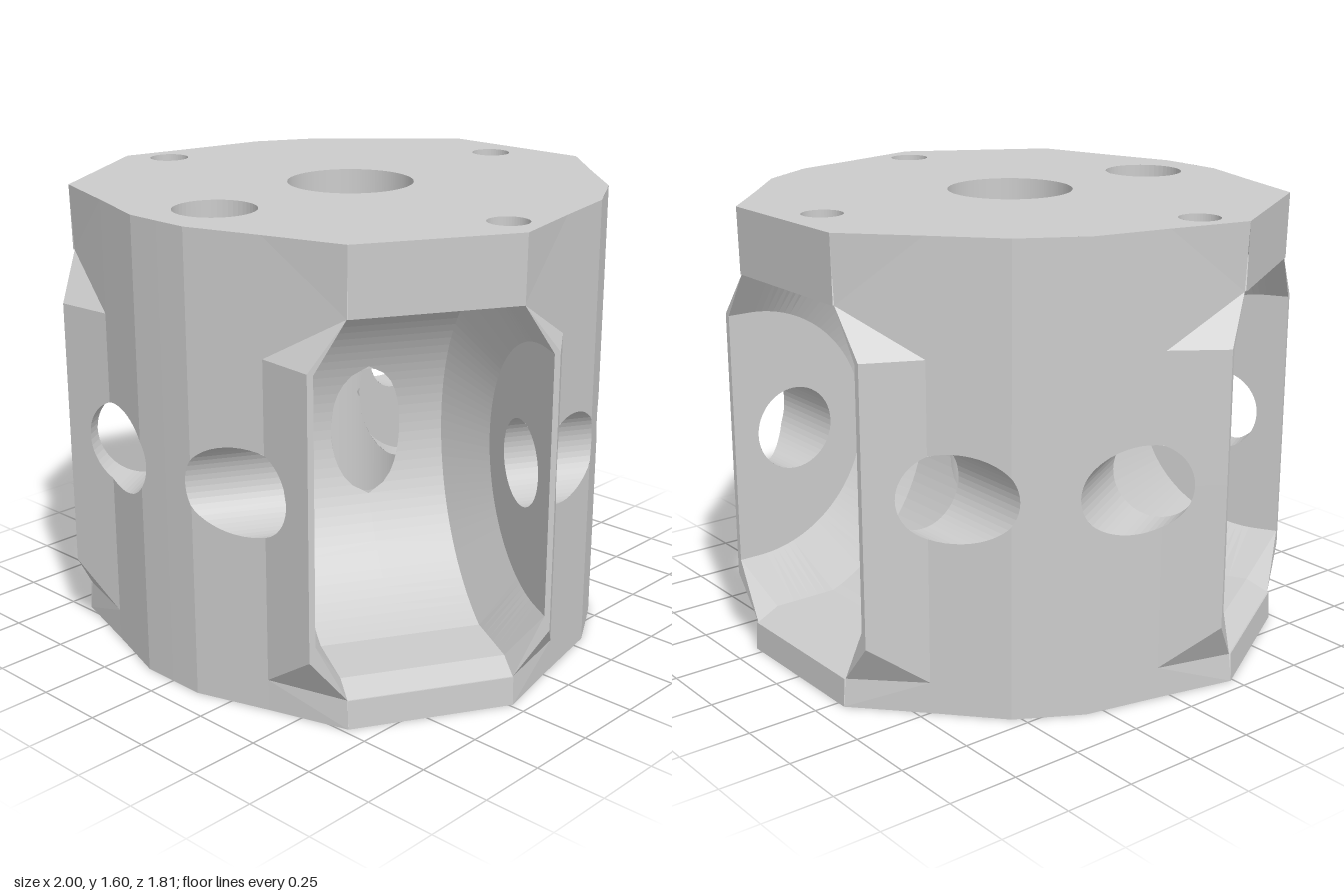
import * as THREE from 'three';

const MID = 0.755;                                   // height of the wheel axles
const BORE = 0.22, H = 1.6;                          // centre bore radius, body height
const AXLE_D = 0.675, AXLE_R = 0.15;                 // axle hole: distance from centre, radius
const CAV_D = 0.84, CAV_R = 0.66, CAV_r = 0.45;      // wheel cavity: centre, floor radius, side radius
const WALL = 0.39, FLOOR = 0.285;                    // half widths of cavity at sides and at floor
const FACE = 0.93, MOUTH = 0.92;                     // distances of flat face and pocket mouth
const LIP_T = 0.41, TOP = 1.37, BOT = 0.1;           // lip half width, pocket top and bottom
const FRONT_HOLE = [0, 0.635, 0.14];
const SMALL_HOLES = [[0, -0.775, 0.07], [0.805, 0.135, 0.07], [-0.805, 0.135, 0.07]];

// Half of the mid-height outline in a pocket's frame: [sideways, outward]
const OUTLINE = [[LIP_T, MOUTH], [0.5, 0.73], [0.701, 0.549], [0.764, 0.441]];

const material = new THREE.MeshStandardMaterial({ color: 0xcccccc, flatShading: true, side: THREE.DoubleSide });
const lerp = THREE.MathUtils.lerp;
const chord = (r, x) => Math.sqrt(Math.max(0, r * r - x * x));

function outlineT(d) {
  for (let i = 0; i < OUTLINE.length - 1; i++) {
    const [t0, d0] = OUTLINE[i], [t1, d1] = OUTLINE[i + 1];
    if (d >= d1 - 1e-9) return lerp(t0, t1, (d0 - d) / (d0 - d1));
  }
  return OUTLINE[3][0];
}

function meshFrom(name, geometry) {
  const mesh = new THREE.Mesh(geometry, material);
  mesh.name = name;
  return mesh;
}

// Collects polygons and turns them into one mesh
class Surface {
  constructor() { this.p = []; }
  poly(...v) {
    for (let i = 1; i < v.length - 1; i++) {
      const [a, b, c] = [v[0], v[i], v[i + 1]].map(q => new THREE.Vector3(...q));
      if (b.clone().sub(a).cross(c.clone().sub(a)).length() > 1e-9) this.p.push(...v[0], ...v[i], ...v[i + 1]);
    }
  }
  loft(a, b) {
    for (let i = 0; i < a.length - 1; i++) this.poly(a[i], a[i + 1], b[i + 1], b[i]);
  }
  // Upright wall of columns [x, z, low, high, half height of opening]
  wall(cols) {
    this.loft(cols.map(c => [c[0], c[2], c[1]]), cols.map(c => [c[0], MID - c[4], c[1]]));
    this.loft(cols.map(c => [c[0], MID + c[4], c[1]]), cols.map(c => [c[0], c[3], c[1]]));
  }
  mesh(name) {
    const g = new THREE.BufferGeometry();
    g.setAttribute('position', new THREE.Float32BufferAttribute(this.p, 3));
    g.computeVertexNormals();
    return meshFrom(name, g);
  }
}

// Sorted distances between two limits, dense around the axle hole
function samples(from, to, extra = []) {
  const s = [from, to, ...extra];
  for (let i = 0; i <= 24; i++) s.push(AXLE_D + AXLE_R * Math.cos(i * Math.PI / 24));
  return s.filter(d => d >= from && d <= to).sort((a, b) => a - b);
}
const axleOpening = d => chord(AXLE_R, d - AXLE_D);

// Cavity profile: arc, flattened at top and bottom, then run out to the mouth
function profile(r, lowEnd) {
  const pts = [];
  for (let i = 0; i <= 60; i++) {
    const a = (i / 60 - 0.5) * Math.PI;
    pts.push([CAV_D - r * Math.cos(a), MID + THREE.MathUtils.clamp(r * Math.sin(a), -0.615, TOP - MID)]);
  }
  return [[MOUTH, lowEnd], ...pts, [MOUTH, pts[60][1]]];
}

// One third of the sides, with the pocket facing +z
function createPocketSector() {
  const group = new THREE.Group();
  const body = new Surface(), lip = new Surface(), cavity = new Surface(), axle = new Surface(), bore = new Surface();
  const outer = profile(CAV_R, BOT), inner = profile(CAV_r, MID - CAV_r);
  const mouthTop = MID + CAV_r, mouthLow = MID - CAV_r;

  // Flat face above and below the pocket
  for (const [lo, hi] of [[TOP, H], [0, BOT]]) {
    const z = d => (d === TOP || d === BOT ? MOUTH + 0.005 : FACE);
    body.poly([-FLOOR, lo, z(lo)], [FLOOR, lo, z(lo)], [FLOOR, hi, z(hi)], [-FLOOR, hi, z(hi)]);
  }
  lip.poly([-FLOOR, BOT, MOUTH], [FLOOR, BOT, MOUTH], [FLOOR, BOT, MOUTH + 0.005], [-FLOOR, BOT, MOUTH + 0.005]);

  for (const s of [-1, 1]) {
    const v = (t, y, d) => [s * t, y, d];
    const [tipT, tipD] = OUTLINE[1];

    // Body wall, and the bevel faces beside the flat face
    body.wall(samples(OUTLINE[3][1], tipD, [OUTLINE[2][1]]).map(d => [s * outlineT(d), d, 0, H, axleOpening(d)]));
    body.poly(v(FLOOR, TOP, MOUTH), v(tipT, 1.21, tipD), v(tipT, H, tipD), v(FLOOR, H, FACE));
    body.poly(v(FLOOR, 0, FACE), v(tipT, 0, tipD), v(tipT, 0.11, tipD), v(FLOOR, BOT, MOUTH));

    // Raised lip: side, end wedges and rim
    lip.wall(samples(tipD, MOUTH).map(d =>
      [s * outlineT(d), d, lerp(0.11, 0.25, (d - tipD) / (MOUTH - tipD)), 1.21, axleOpening(d)]));
    lip.poly(v(FLOOR, TOP, MOUTH), v(LIP_T, 1.21, MOUTH), v(tipT, 1.21, tipD));
    lip.poly(v(FLOOR, BOT, MOUTH), v(LIP_T, 0.25, MOUTH), v(tipT, 0.11, tipD));
    lip.loft(
      [v(FLOOR, TOP, MOUTH), v(LIP_T, 1.21, MOUTH), v(LIP_T, 0.25, MOUTH), v(FLOOR, BOT, MOUTH)],
      [v(FLOOR, TOP, MOUTH), v(WALL, mouthTop, MOUTH), v(WALL, mouthLow, MOUTH), v(FLOOR, BOT, MOUTH)]);

    // Cavity: side wall, cone, and half the floor up to the window into the bore
    const arcD = [];
    for (let i = 0; i <= 30; i++) arcD.push(CAV_D - CAV_r * Math.cos(i * Math.PI / 60));
    cavity.wall(samples(CAV_D - CAV_r, MOUTH, arcD).map(d => {
      const h = chord(CAV_r, Math.max(0, CAV_D - d));
      return [s * WALL, d, MID - h, MID + h, axleOpening(d)];
    }));
    cavity.loft(inner.map(([d, y]) => v(WALL, y, d)), outer.map(([d, y]) => v(FLOOR, y, d)));
    cavity.loft(outer.map(([d, y]) => v(FLOOR, y, d)), outer.map(([d, y]) => v(chord(BORE, d), y, d)));

    // Axle hole from cavity to outside
    const ring = [];
    for (let i = 0; i <= 48; i++) {
      const a = i * Math.PI / 24;
      ring.push([AXLE_D + AXLE_R * Math.cos(a), MID + AXLE_R * Math.sin(a)]);
    }
    axle.loft(ring.map(([d, y]) => v(WALL, y, d)), ring.map(([d, y]) => v(outlineT(d), y, d)));
  }

  // Third of the centre bore, opened where the cavity breaks in
  const cols = [];
  for (let i = 0; i <= 48; i++) {
    const a = (i * 2.5 - 60) * Math.PI / 180, z = BORE * Math.cos(a);
    cols.push([BORE * Math.sin(a), z, 0, H, chord(CAV_R, CAV_D - z)]);
  }
  bore.wall(cols);

  group.add(body.mesh('bodySide'), lip.mesh('pocketLip'), cavity.mesh('wheelCavity'),
    axle.mesh('axleHoles'), bore.mesh('centreBore'));
  return group;
}

// End cap: body outline with round holes
function createCap(name, y, holes) {
  const pts = [];
  for (let k = 0; k < 3; k++) {
    const half = [[FLOOR, FACE], OUTLINE[1], OUTLINE[2]];
    const side = [...half.map(([t, d]) => [-t, d]).reverse(), ...half];
    const a = Math.PI / 3 - k * Math.PI * 2 / 3;
    // every sector ends where the next one begins, going round one way
    for (const [t, d] of side.reverse()) {
      const x = t * Math.cos(a) + d * Math.sin(a), z = -t * Math.sin(a) + d * Math.cos(a);
      pts.push(new THREE.Vector2(x, -z));
    }
  }
  // order round the centre
  pts.sort((p, q) => Math.atan2(p.y, p.x) - Math.atan2(q.y, q.x));
  const shape = new THREE.Shape(pts);
  for (const [x, z, r] of holes) shape.holes.push(new THREE.Path().absarc(x, -z, r, 0, Math.PI * 2, true));
  const g = new THREE.ShapeGeometry(shape, 48);
  g.rotateX(-Math.PI / 2).translate(0, y, 0);
  return meshFrom(name, g);
}

function createHole(name, [x, z, r], bottom) {
  const g = new THREE.CylinderGeometry(r, r, H - bottom, 48, 1, true);
  g.translate(x, (H + bottom) / 2, z);
  return meshFrom(name, g);
}

export function createModel() {
  const model = new THREE.Group();
  model.name = 'wheelHub';

  for (let k = 0; k < 3; k++) {
    const sector = createPocketSector();
    sector.name = 'pocketSector' + (k + 1);
    sector.rotation.y = Math.PI / 3 + k * Math.PI * 2 / 3;
    model.add(sector);
  }

  const through = [[0, 0, BORE], FRONT_HOLE];
  model.add(createCap('topFace', H, [...through, ...SMALL_HOLES]));
  model.add(createCap('bottomFace', 0, through));
  model.add(createHole('frontHole', FRONT_HOLE, 0));

  // Blind screw holes
  for (const h of SMALL_HOLES) {
    model.add(createHole('screwHole', h, 1.4));
    const floor = new THREE.CircleGeometry(h[2], 48);
    floor.rotateX(-Math.PI / 2).translate(h[0], 1.4, h[1]);
    model.add(meshFrom('screwHoleFloor', floor));
  }

  model.position.set(0, 0, 0.02);
  const root = new THREE.Group();
  root.add(model);
  return root;
}
